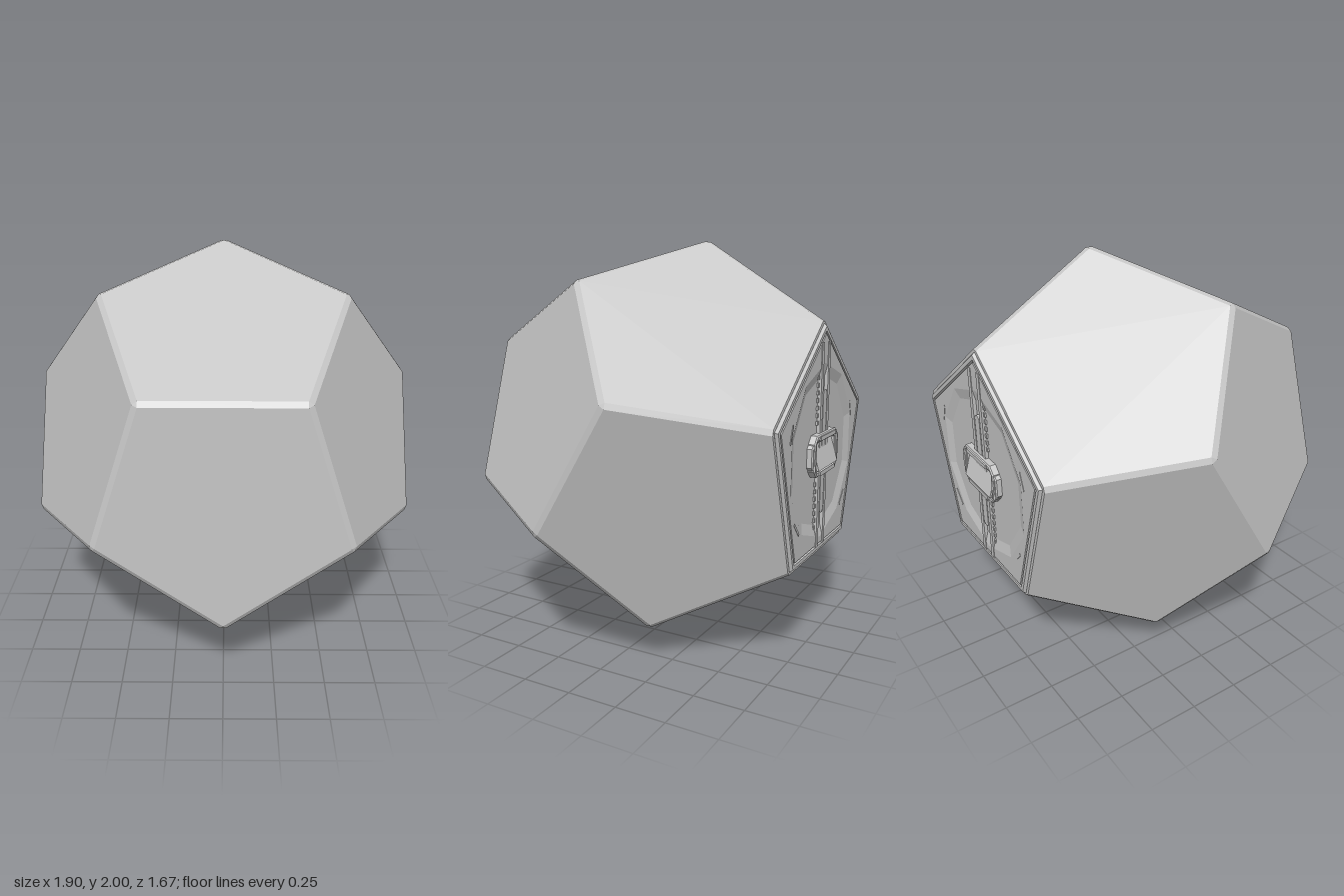
import * as THREE from 'three';
import { ConvexGeometry } from 'three/addons/geometries/ConvexGeometry.js';

const grey = new THREE.MeshStandardMaterial({ color: 0xc6c6c6 });
grey.name = 'light grey';

const R = 0.624;            // corner radius of one pentagon
const H = R * 1.309;        // centre to face
const INSET = 0.034;        // share of each face given to the edge chamfer
const RECESS = 0.014;       // depth of the hatch floor

const ring = (n, r, start) => Array.from({ length: n }, (_, i) => {
  const a = start + i * Math.PI * 2 / n;
  return new THREE.Vector2(Math.cos(a) * r, Math.sin(a) * r);
});
const UP = Math.PI / 2;

function add(parent, name, geometry, x = 0, y = 0, z = 0) {
  const m = new THREE.Mesh(geometry, grey);
  m.name = name;
  m.position.set(x, y, z);
  parent.add(m);
  return m;
}

// Flat plate from an outline with optional hole
function plate(outline, hole, depth, bevel = 0, bevelSize = bevel) {
  const s = new THREE.Shape(outline);
  if (hole) s.holes.push(new THREE.Path(hole));
  return new THREE.ExtrudeGeometry(s, {
    depth: depth - bevel, bevelEnabled: bevel > 0, bevelThickness: bevel,
    bevelSize, bevelOffset: -bevelSize, bevelSegments: 1,
  });
}

// Rectangle with cut corners
const cutRect = (w, h, c) => [[w - c, -h], [w, c - h], [w, h - c], [w - c, h],
  [c - w, h], [-w, h - c], [-w, c - h], [c - w, -h]].map(p => new THREE.Vector2(...p));

// Chamfered dodecahedron, back face sunk to take the hatch
function shellGeometry() {
  const corners = [], normals = [new THREE.Vector3(0, 0, 1), new THREE.Vector3(0, 0, -1)];
  for (const s of [1, -1]) {
    for (const p of ring(5, 1, -UP * s)) {
      corners.push(new THREE.Vector3(p.x * R, p.y * R, s * H));
      corners.push(new THREE.Vector3(p.x * R * 1.618, p.y * R * 1.618, s * R * 0.309));
      normals.push(new THREE.Vector3(-p.x * 2, -p.y * 2, s).normalize());
    }
  }
  const points = [];
  for (const n of normals) {
    const centre = n.clone().multiplyScalar(H);
    for (const c of corners) {
      if (c.dot(n) < H - 0.01) continue;
      const p = c.clone().lerp(centre, INSET);
      if (n.z < -0.9) p.z += RECESS;
      points.push(p);
    }
  }
  return new ConvexGeometry(points);
}

// Inward-facing sloped wall of the ten-sided recess
function recessWallGeometry() {
  const outer = ring(10, 0.43, UP), inner = ring(10, 0.375, UP);
  const positions = [];
  outer.forEach((a, i) => {
    const j = (i + 1) % 10, b = outer[j], c = inner[j], d = inner[i];
    positions.push(a.x, a.y, RECESS, b.x, b.y, RECESS, c.x, c.y, 0);
    positions.push(a.x, a.y, RECESS, c.x, c.y, 0, d.x, d.y, 0);
  });
  const g = new THREE.BufferGeometry();
  g.setAttribute('position', new THREE.Float32BufferAttribute(positions, 3));
  g.computeVertexNormals();
  return g;
}

function createHatch() {
  const g = new THREE.Group();
  g.name = 'hatch';
  const r0 = R * (1 - INSET);

  // Chamfered rim and main panel with a thin seam between them
  add(g, 'hatchRim', plate(ring(5, r0 + 0.0116, UP), ring(5, r0 - 0.034, UP), RECESS, 0.0135, 0.0094));
  add(g, 'hatchPanel', plate(ring(5, r0 - 0.036, UP), ring(10, 0.43, UP), RECESS));
  add(g, 'recessWall', recessWallGeometry());

  // Twin rails with teeth on the outside
  for (const s of [1, -1]) {
    add(g, 'rail', new THREE.BoxGeometry(0.028, 1.0, 0.017), s * 0.045, 0.03, 0.0085);
    for (let i = 0; i < 7; i++) {
      for (const t of [1, -1]) {
        add(g, 'railTooth', new THREE.BoxGeometry(0.014, 0.02, 0.008),
          s * 0.066, t * (0.15 + i * 0.036), 0.004);
      }
    }
    // Raised strips near the rim of the recess
    for (const a of [-0.75, 0.35]) {
      const strip = add(g, 'edgeStrip', new THREE.BoxGeometry(0.012, 0.09, 0.004),
        s * 0.445 * Math.cos(a), 0.445 * Math.sin(a), RECESS);
      strip.rotation.z = s * a;
    }
  }

  // Round-ended slider between the rails
  const slider = new THREE.Shape();
  slider.absarc(0, 0.28, 0.024, 0, Math.PI);
  slider.absarc(0, -0.28, 0.024, Math.PI, Math.PI * 2);
  add(g, 'slider', new THREE.ExtrudeGeometry(slider,
    { depth: 0.017, bevelEnabled: false, curveSegments: 6 }));

  // Latch: stepped frame, clips above and below, and a tilted handle plate
  const latch = new THREE.Group();
  latch.name = 'latch';
  g.add(latch);
  add(latch, 'latchBase', plate(cutRect(0.18, 0.085, 0.04), cutRect(0.14, 0.062, 0.01), 0.03, 0.006));
  add(latch, 'latchFrame', plate(cutRect(0.165, 0.1, 0.035), cutRect(0.142, 0.072, 0.01), 0.036, 0.006));
  for (const s of [1, -1]) {
    add(latch, 'latchClip', new THREE.BoxGeometry(0.21, 0.02, 0.043), 0, s * 0.085, 0.0215);
    add(latch, 'latchEnd', new THREE.BoxGeometry(0.02, 0.07, 0.036), s * 0.155, 0, 0.018);
  }
  const handle = add(latch, 'handlePlate', new THREE.BoxGeometry(0.27, 0.14, 0.01), 0, 0, 0.02);
  handle.rotation.x = -0.3;
  return g;
}

export function createModel() {
  const model = new THREE.Group();
  model.name = 'dodecahedronPod';
  add(model, 'shell', shellGeometry(), 0, 1, 0.015);
  const hatch = createHatch();
  hatch.position.set(0, 1, 0.015 - H + RECESS);
  hatch.rotation.y = Math.PI;
  model.add(hatch);
  return model;
}
